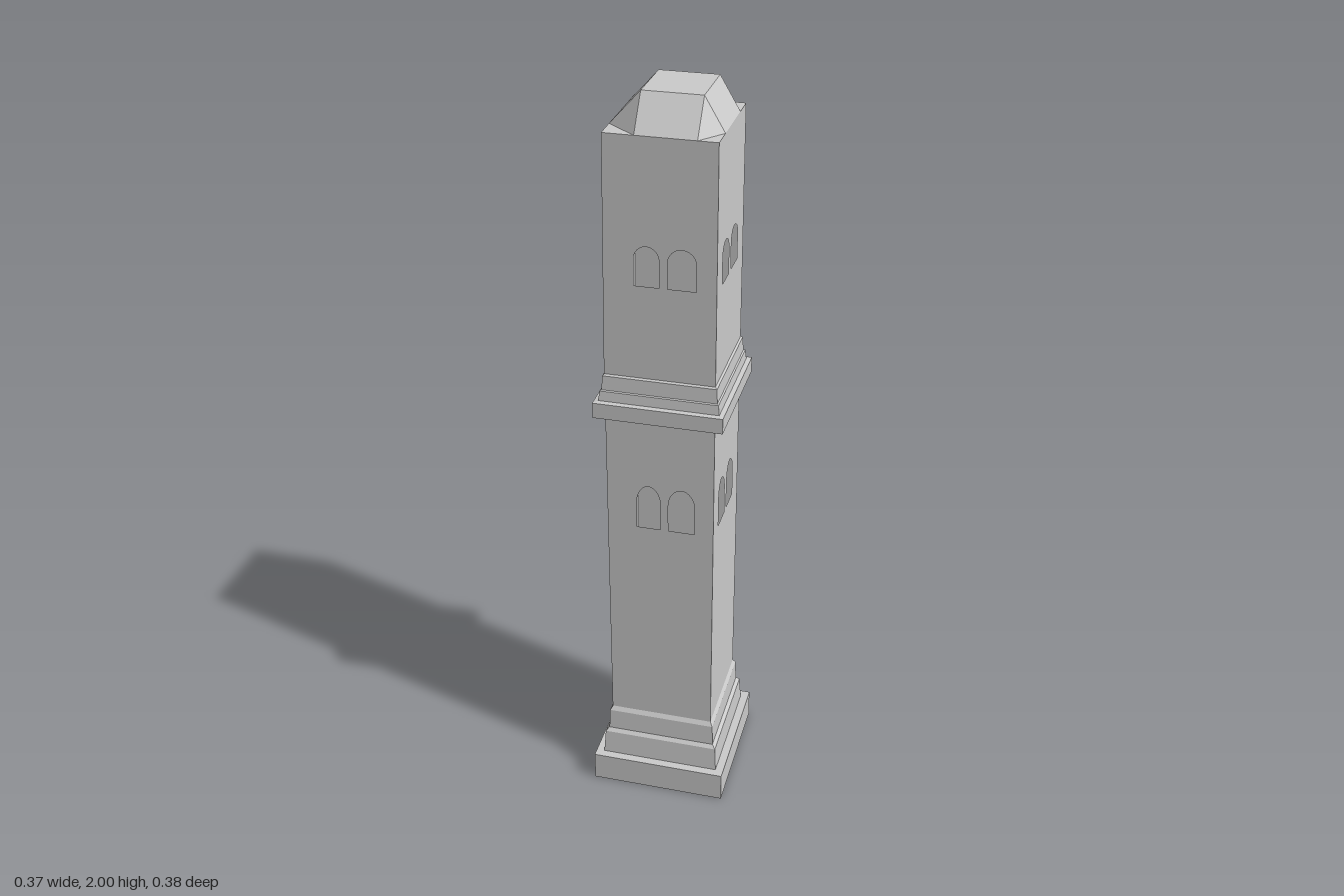
import * as THREE from 'three';

const mat = new THREE.MeshStandardMaterial({ color: 0xcccccc, flatShading: true, side: THREE.DoubleSide });

function addMesh(group, name, geometry) {
  const mesh = new THREE.Mesh(geometry, mat);
  mesh.name = name;
  group.add(mesh);
}

// Flat-shaded surface from polygons, each an outward counter-clockwise list of corners
function polygons(faces) {
  const pos = [];
  for (const f of faces)
    for (let i = 1; i < f.length - 1; i++) pos.push(...f[0], ...f[i], ...f[i + 1]);
  const g = new THREE.BufferGeometry();
  g.setAttribute('position', new THREE.Float32BufferAttribute(pos, 3));
  g.computeVertexNormals();
  return g;
}

// Rectangular moulding: loft through rings of [y, half width, half depth]
function moulding(profile) {
  const rings = profile.map(([y, w, d]) => [[-w, y, d], [w, y, d], [w, y, -d], [-w, y, -d]]);
  const faces = [];
  for (let r = 0; r < rings.length - 1; r++)
    for (let i = 0; i < 4; i++) {
      const j = (i + 1) % 4;
      faces.push([rings[r][i], rings[r][j], rings[r + 1][j], rings[r + 1][i]]);
    }
  return polygons(faces);
}

// Arched window opening
function archHole(a0, a1, sill, top, rise) {
  const c = (a0 + a1) / 2, r = (a1 - a0) / 2;
  const p = new THREE.Path();
  p.moveTo(a0, sill);
  p.lineTo(a1, sill);
  p.lineTo(a1, top - rise);
  p.absellipse(c, top - rise, r, rise, 0, Math.PI, false);
  p.closePath();
  return p;
}

// Wall sheet with a pair of arched windows; a runs along the wall
function wallSheet(outline, pairs, sill, top, rise) {
  const s = new THREE.Shape(outline.map(([a, y]) => new THREE.Vector2(a, y)));
  for (const [a0, a1] of pairs) s.holes.push(archHole(a0, a1, sill, top, rise));
  return new THREE.ShapeGeometry(s, 8);
}

const D = 0.143, R = 0.141; // half depth and right-hand face of the shaft
const frontPairs = [[-0.063, 0], [0.021, 0.091]];
const sidePairs = [[-0.075, -0.006], [0.02, 0.086]];

// Four walls of one storey; the -x wall leans from x0 to x1
function storey(name, y0, y1, x0, x1, sill, top, rise) {
  const g = new THREE.Group();
  g.name = name;
  for (const side of [1, -1]) {
    const face = wallSheet([[x0, y0], [R, y0], [R, y1], [x1, y1]], frontPairs, sill, top, rise);
    face.translate(0, 0, side * D);
    addMesh(g, side > 0 ? 'frontWall' : 'backWall', face);

    const flank = wallSheet([[-D, y0], [D, y0], [D, y1], [-D, y1]], sidePairs, sill, top, rise);
    const p = flank.attributes.position;
    for (let i = 0; i < p.count; i++) {
      const a = p.getX(i), y = p.getY(i);
      const x = side > 0 ? R : x0 + (x1 - x0) * (y - y0) / (y1 - y0);
      p.setXYZ(i, x, y, a);
    }
    flank.computeVertexNormals();
    addMesh(g, side > 0 ? 'leftWall' : 'rightWall', flank);
  }
  return g;
}

// Roof with a flat top, four slopes and chamfered corners
function roof(y0, y1) {
  const X0 = -0.135, X1 = R, a = -0.058, b = 0.091, z = 0.079;
  const faces = [
    [[a, y1, z], [b, y1, z], [b, y1, -z], [a, y1, -z]],
    [[a, y0, D], [b, y0, D], [b, y1, z], [a, y1, z]],
    [[b, y0, -D], [a, y0, -D], [a, y1, -z], [b, y1, -z]],
    [[X1, y0, z], [X1, y0, -z], [b, y1, -z], [b, y1, z]],
    [[X0, y0, -z], [X0, y0, z], [a, y1, z], [a, y1, -z]],
  ];
  for (const [ex, tx, sx] of [[X1, b, 1], [X0, a, -1]])
    for (const s of [1, -1]) {
      const eaveA = [tx, y0, s * D], eaveB = [ex, y0, s * z];
      const chamfer = [eaveA, eaveB, [tx, y1, s * z]];
      const ledge = [eaveA, [ex, y0, s * D], eaveB];
      if (sx * s < 0) { chamfer.reverse(); ledge.reverse(); }
      faces.push(chamfer, ledge);
    }
  return polygons(faces);
}

export function createModel() {
  const tower = new THREE.Group();
  tower.name = 'tower';

  // Stepped plinth, open underneath
  addMesh(tower, 'plinth', moulding([
    [0, 0.185, 0.19], [0.083, 0.185, 0.19], [0.083, 0.163, 0.167],
    [0.152, 0.159, 0.161], [0.162, 0.15, 0.153],
    [0.222, 0.148, 0.15], [0.234, 0.141, 0.143],
  ]));
  addMesh(tower, 'plinthCeiling', polygons([
    [[-0.185, 0.082, -0.19], [0.185, 0.082, -0.19], [0.185, 0.082, 0.19], [-0.185, 0.082, 0.19]],
  ]));

  tower.add(storey('lowerShaft', 0.23, 1.2, -0.142, -0.142, 0.853, 0.98, 0.05));

  // Projecting band with two receding steps above it
  addMesh(tower, 'band', moulding([
    [1.18, 0.141, 0.143], [1.18, 0.167, 0.171], [1.222, 0.167, 0.171],
    [1.224, 0.155, 0.158], [1.25, 0.152, 0.155], [1.252, 0.148, 0.151],
    [1.29, 0.146, 0.148], [1.294, 0.141, 0.143],
  ]));

  tower.add(storey('upperShaft', 1.2, 1.915, -0.144, -0.135, 1.542, 1.645, 0.035));
  addMesh(tower, 'roof', roof(1.915, 2));
  return tower;
}
